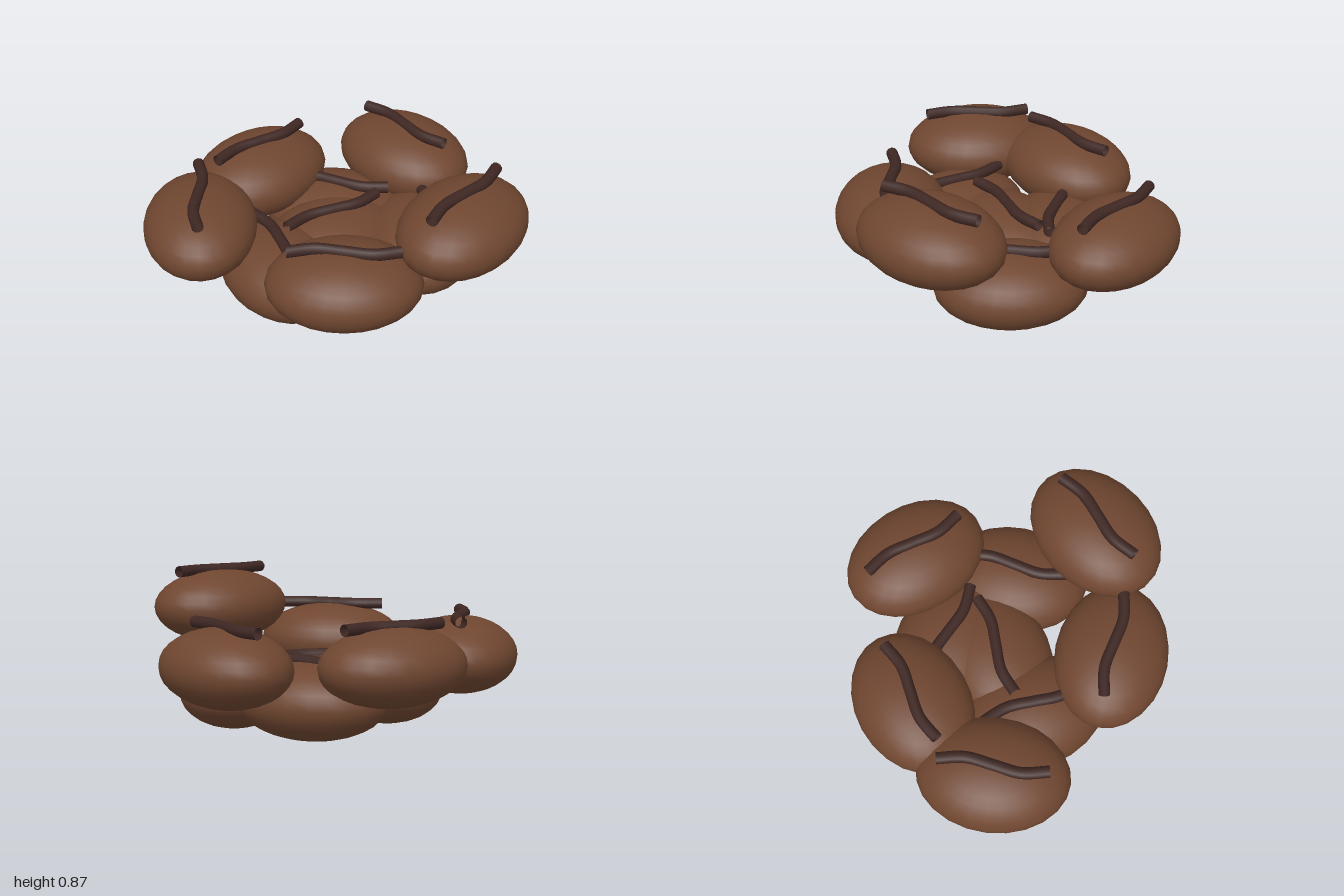
import * as THREE from 'three';

const LENGTH = 0.42, HEIGHT = 0.21, WIDTH = 0.315;

// x, layer height, z, heading in degrees (from +x towards +z)
const BEANS = [
  // bottom layer
  [-0.11, 0.21, -0.01, 95.5],
  [0.20, 0.21, -0.395, 38],
  [-0.07, 0.21, 0.38, 4],
  [-0.31, 0.21, -0.20, -40],
  // middle layer
  [-0.285, 0.42, -0.685, -8.7],
  [-0.665, 0.42, 0.09, 87],
  [-0.45, 0.42, 0.65, 33.4],
  [0.435, 0.42, 0.335, -51.8],
  // top bean
  [0.65, 0.63, -0.29, 76.5],
];

export function createModel() {
  const pile = new THREE.Group();
  pile.name = 'beanPile';

  const beanMaterial = new THREE.MeshStandardMaterial({ color: 0x6f4630 });
  const creaseMaterial = new THREE.MeshStandardMaterial({ color: 0x3e2723, side: THREE.DoubleSide });

  // ellipsoid body
  const bodyGeometry = new THREE.SphereGeometry(1, 24, 16);
  bodyGeometry.scale(LENGTH, HEIGHT, WIDTH);

  // S-shaped crease lying along the top
  const creasePath = new THREE.CatmullRomCurve3(
    [[-0.3, 0], [-0.15, -0.025], [0, 0], [0.15, 0.025], [0.3, 0]]
      .map(([x, z]) => new THREE.Vector3(x, HEIGHT, z)));
  const creaseGeometry = new THREE.TubeGeometry(creasePath, 24, 0.032, 10, false);

  BEANS.forEach(([x, y, z, heading], i) => {
    const bean = new THREE.Group();
    bean.name = `bean${i + 1}`;
    const body = new THREE.Mesh(bodyGeometry, beanMaterial);
    body.name = 'beanBody';
    const crease = new THREE.Mesh(creaseGeometry, creaseMaterial);
    crease.name = 'beanCrease';
    bean.add(body, crease);
    bean.position.set(x, y, z);
    bean.rotation.y = -THREE.MathUtils.degToRad(heading);
    pile.add(bean);
  });

  return pile;
}
